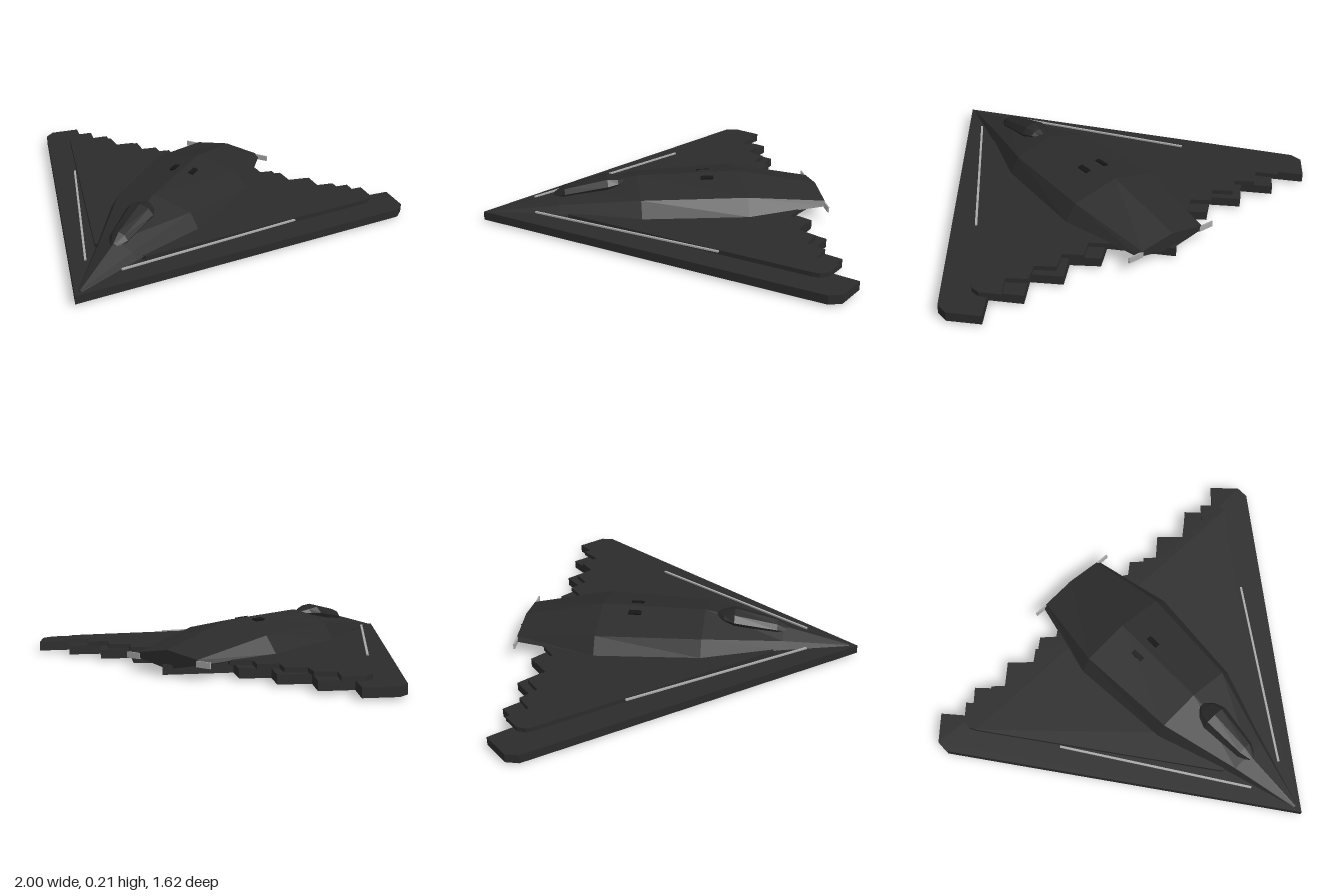
import * as THREE from 'three';

const mat = (name, color) => Object.assign(new THREE.MeshStandardMaterial({ color, flatShading: true }), { name });

// Flat plate from a right-half outline of [x, z] points, mirrored; first and last points lie near the centre line
function plate(half, y0, height, material, name) {
  const mirrored = half.filter(p => p[0] > 0).reverse().map(([x, z]) => [-x, z]);
  const shape = new THREE.Shape([...half, ...mirrored].map(([x, z]) => new THREE.Vector2(x, -z)));
  const geo = new THREE.ExtrudeGeometry(shape, { depth: height, bevelEnabled: false });
  geo.rotateX(-Math.PI / 2).translate(0, y0, 0);
  const mesh = new THREE.Mesh(geo, material);
  mesh.name = name;
  return mesh;
}

// Faceted hull through rings of points, listed front to back, each counterclockwise from the front
function loft(rings, material, name) {
  const pos = [];
  const tri = (a, b, c) => pos.push(...a, ...b, ...c);
  const n = rings[0].length;
  for (let i = 0; i < rings.length - 1; i++) {
    for (let j = 0; j < n; j++) {
      const k = (j + 1) % n, r = rings[i], s = rings[i + 1];
      tri(r[j], s[j], r[k]);
      tri(r[k], s[j], s[k]);
    }
  }
  const f = rings[0], b = rings[rings.length - 1];
  for (let j = 1; j < n - 1; j++) {
    tri(f[0], f[j], f[j + 1]);
    tri(b[0], b[j + 1], b[j]);
  }
  const geo = new THREE.BufferGeometry();
  geo.setAttribute('position', new THREE.Float32BufferAttribute(pos, 3));
  geo.computeVertexNormals();
  const mesh = new THREE.Mesh(geo, material);
  mesh.name = name;
  return mesh;
}

export function createModel() {
  const hull = mat('charcoal hull', 0x2b2b2b);
  const glass = mat('dark canopy', 0x262626);
  const vent = mat('black vent', 0x151515);
  const light = mat('pale grey trim', 0xa8a8a8);
  const group = new THREE.Group();
  group.name = 'deltaCraft';

  // Main wing with sawtooth trailing edge and a central tail point
  const wing = [[0, 0.81], [1, -0.55], [1, -0.61]];
  for (const x of [0.9, 0.7, 0.5, 0.3]) {
    wing.push([x, -0.685 - (x - 0.3) * 0.045], [x - 0.1, -0.6]);
  }
  wing.push([0, -0.815]);
  group.add(plate(wing, 0.01, 0.04, hull, 'mainWing'));

  // Raised upper wing panel with finer teeth
  const upper = [[0.13, 0.42], [0.835, -0.53], [0.85, -0.56], [0.845, -0.6]];
  for (const x of [0.78, 0.64, 0.5, 0.36, 0.22]) {
    upper.push([x, x > 0.7 ? -0.665 : -0.645], [x - 0.07, -0.585]);
  }
  group.add(plate(upper, 0.05, 0.02, hull, 'upperWingPanel'));

  // Fuselage: [z, side x, side y, shoulder x, shoulder y, top y, bottom y]
  const body = [
    [0.77, 0.01, 0.051, 0.006, 0.053, 0.055, 0.045],
    [0.46, 0.105, 0.063, 0.085, 0.1, 0.132, 0.018],
    [0.09, 0.23, 0.07, 0.19, 0.145, 0.195, 0],
    [-0.4, 0.27, 0.07, 0.22, 0.145, 0.195, 0],
    [-0.785, 0.185, 0.065, 0.165, 0.085, 0.11, 0.03],
  ].map(([z, sx, sy, ux, uy, top, bot]) =>
    [[0, bot, z], [sx, sy, z], [ux, uy, z], [0, top, z], [-ux, uy, z], [-sx, sy, z]]);
  group.add(loft(body, hull, 'fuselage'));

  // Canopy: [z, half width, base y, top y]
  const canopy = [
    [0.48, 0.018, 0.1, 0.13],
    [0.43, 0.046, 0.1, 0.165],
    [0.23, 0.07, 0.13, 0.21],
    [0.18, 0.05, 0.15, 0.197],
    [0.145, 0.016, 0.16, 0.184],
  ].map(([z, w, base, top]) => {
    const mid = base + (top - base) * 0.5, high = base + (top - base) * 0.85;
    return [[w * 0.7, base, z], [w, mid, z], [w * 0.65, high, z], [0, top, z],
      [-w * 0.65, high, z], [-w, mid, z], [-w * 0.7, base, z]];
  });
  group.add(loft(canopy, glass, 'canopy'));

  for (const side of [-1, 1]) {
    const label = side > 0 ? 'left' : 'right';
    const add = (w, h, d, x, y, z, material, name) => {
      const mesh = new THREE.Mesh(new THREE.BoxGeometry(w, h, d), material);
      mesh.position.set(side * x, y, z);
      mesh.name = label + name;
      group.add(mesh);
      return mesh;
    };
    // Leading-edge light strip, sloping gently down toward the rear
    const a = new THREE.Vector3(side * 0.09, 0.074, 0.57);
    const b = new THREE.Vector3(side * 0.6, 0.07, -0.19);
    const strip = add(0.01, 0.007, a.distanceTo(b), 0, 0, 0, light, 'LightStrip');
    strip.position.copy(a).add(b).multiplyScalar(0.5);
    strip.lookAt(a);
    // Dorsal vent
    add(0.025, 0.01, 0.06, 0.05, 0.184, -0.24, vent, 'DorsalVent').rotation.z = -side * 0.22;
    // Tail tab beside the exhaust
    add(0.075, 0.026, 0.007, 0.197, 0.068, -0.783, light, 'TailTab');
  }
  return group;
}
